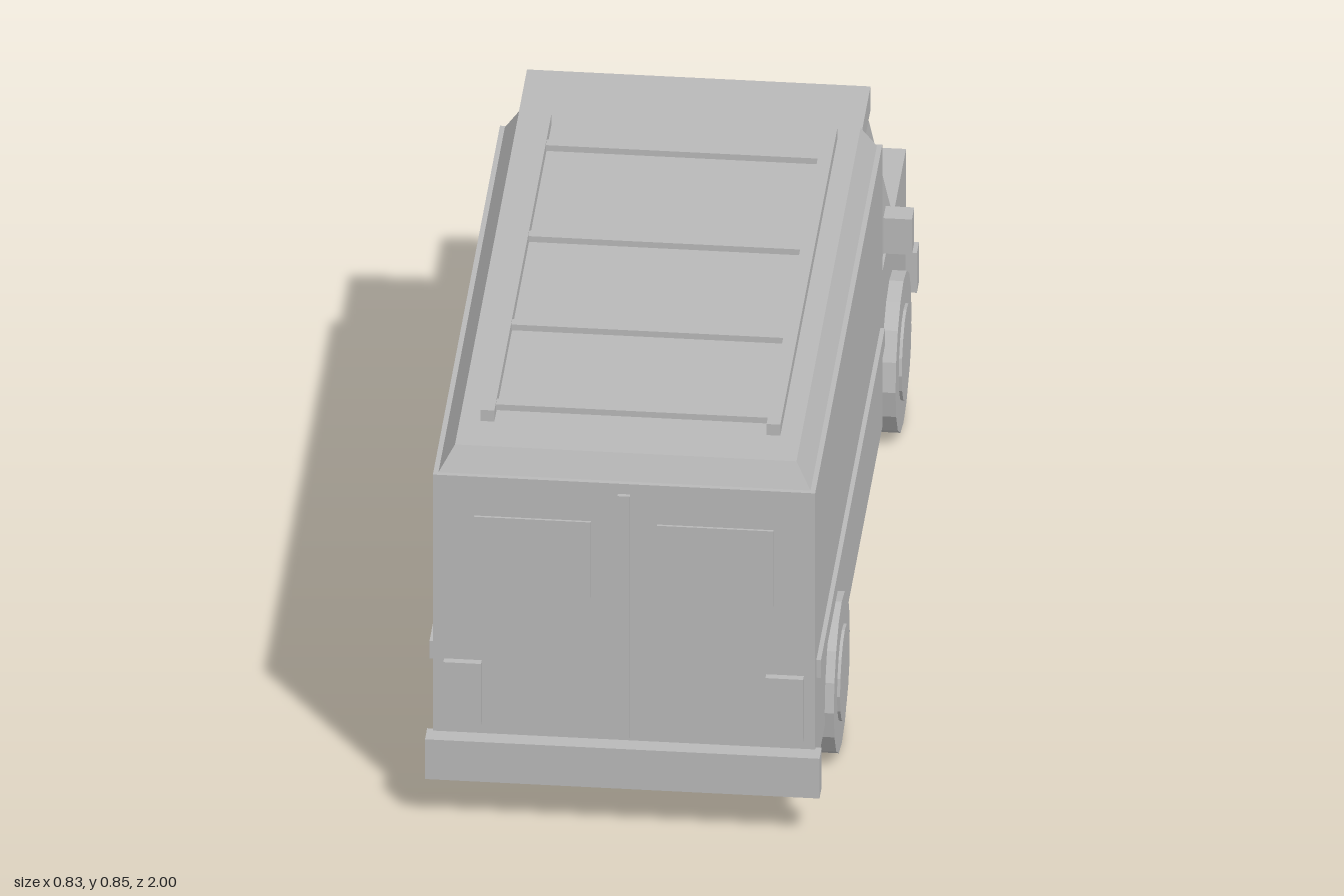
import * as THREE from 'three';

const grey = new THREE.MeshStandardMaterial({ color: 0xb8b8b8, flatShading: true });
grey.name = 'plain grey';

export function createModel() {
  const model = new THREE.Group();
  model.name = 'deliveryVan';

  const add = (name, geometry) => {
    const mesh = new THREE.Mesh(geometry, grey);
    mesh.name = name;
    model.add(mesh);
    return mesh;
  };
  // Box given by its lower and upper limits on each axis
  const box = (name, x0, x1, y0, y1, z0, z1) => {
    const g = new THREE.BoxGeometry(x1 - x0, y1 - y0, z1 - z0);
    g.translate((x0 + x1) / 2, (y0 + y1) / 2, (z0 + z1) / 2);
    return add(name, g);
  };
  // Same box on both sides of the vehicle
  const pair = (name, x0, x1, ...yz) => {
    box(name + 'Left', x0, x1, ...yz);
    box(name + 'Right', -x1, -x0, ...yz);
  };
  // Six-sided block whose top rectangle differs from its bottom one
  const taper = (name, y0, y1, bottom, top) => {
    const g = new THREE.BoxGeometry(2, 2, 2);
    const p = g.attributes.position;
    for (let i = 0; i < p.count; i++) {
      const up = p.getY(i) > 0;
      const [halfWidth, z0, z1] = up ? top : bottom;
      p.setXYZ(i, p.getX(i) * halfWidth, up ? y1 : y0, p.getZ(i) > 0 ? z1 : z0);
    }
    g.computeVertexNormals();
    return add(name, g);
  };

  // Body
  box('chassis', -0.337, 0.337, 0.085, 0.14, -0.92, 0.93);
  box('cargoBox', -0.375, 0.375, 0.13, 0.77, -0.385, 0.965);
  taper('cargoRoof', 0.77, 0.82, [0.365, -0.38, 0.955], [0.335, -0.36, 0.93]);
  box('hood', -0.365, 0.365, 0.13, 0.42, -0.965, -0.38);
  taper('cab', 0.42, 0.765, [0.36, -0.725, -0.38], [0.328, -0.53, -0.38]);
  box('cabRoof', -0.337, 0.337, 0.757, 0.81, -0.538, -0.37);

  // Bumpers
  box('rearBumper', -0.387, 0.387, 0.1, 0.19, 0.957, 1);
  box('frontBumper', -0.387, 0.387, 0.1, 0.19, -1, -0.957);

  // Rear doors and lamps
  box('doorSeam', -0.012, 0.012, 0.2, 0.747, 0.96, 0.974);
  pair('rearWindow', 0.065, 0.294, 0.51, 0.682, 0.962, 0.97);
  pair('tailLamp', 0.279, 0.353, 0.215, 0.355, 0.96, 0.98);

  // Nose
  box('grille', -0.195, 0.195, 0.235, 0.35, -0.975, -0.96);
  pair('headlamp', 0.22, 0.33, 0.24, 0.342, -0.982, -0.96);

  // Sides
  pair('sideTrim', 0.37, 0.384, 0.338, 0.378, -0.345, 0.94);
  pair('mirror', 0.36, 0.416, 0.42, 0.5, -0.607, -0.56);

  // Roof rack
  pair('rackRail', 0.267, 0.294, 0.818, 0.845, -0.31, 0.835);
  [-0.21, 0.142, 0.484, 0.793].forEach((z, i) =>
    box('rackBar' + (i + 1), -0.27, 0.27, 0.828, 0.841, z - 0.011, z + 0.011));

  // Wheels with raised hubs
  for (const [place, z] of [['front', -0.627], ['rear', 0.613]]) {
    for (const side of [1, -1]) {
      const tag = place + (side > 0 ? 'Left' : 'Right');
      const disc = (name, r, width, x) => {
        const g = new THREE.CylinderGeometry(r, r, width, 16);
        g.rotateZ(Math.PI / 2);
        add(name, g).position.set(side * x, 0.16, z);
      };
      disc(tag + 'Wheel', 0.16, 0.106, 0.34);
      disc(tag + 'Hub', 0.096, 0.04, 0.379);
    }
  }
  return model;
}
